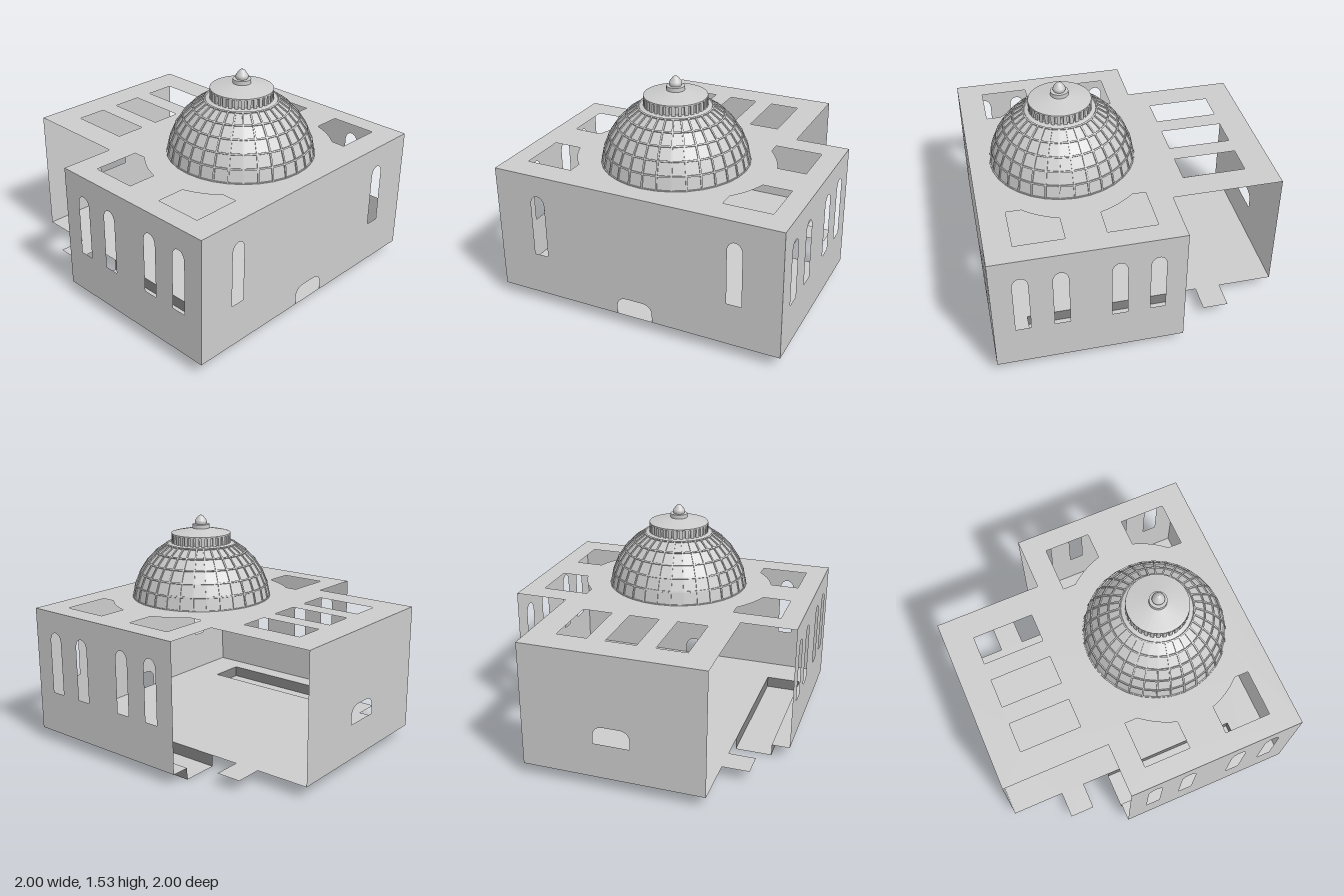
import * as THREE from 'three';

const FLOOR = 0.08, ROOF = 0.955, CX = 0.367;

export function createModel() {
  const model = new THREE.Group();
  const grey = new THREE.MeshStandardMaterial({ color: 0xcccccc, side: THREE.DoubleSide });
  const flat = new THREE.MeshStandardMaterial({ color: 0xcccccc, side: THREE.DoubleSide, flatShading: true });
  const dark = new THREE.MeshStandardMaterial({ color: 0x828282, side: THREE.DoubleSide });

  const add = (name, geo, mat = grey, parent = model) => {
    const mesh = new THREE.Mesh(geo, mat);
    mesh.name = name;
    parent.add(mesh);
    return mesh;
  };
  const polygon = (pts) => new THREE.Shape(pts.map(([a, b]) => new THREE.Vector2(a, b)));
  const rect = (a0, b0, a1, b1) => polygon([[a0, b0], [a1, b0], [a1, b1], [a0, b1]]);
  // Closes a half outline by mirroring its second coordinate
  const mirrored = (half) => polygon([...half, ...half.map(([a, b]) => [a, -b]).reverse()]);

  // Sheets: horizontal (x, z), facing z (x, y) and facing x (z, y)
  const slab = (s, y) => new THREE.ShapeGeometry(s, 12).rotateX(Math.PI / 2).translate(0, y, 0);
  const wallZ = (s, z) => new THREE.ShapeGeometry(s, 12).translate(0, 0, z);
  const wallX = (s, x) => new THREE.ShapeGeometry(s, 12).rotateY(-Math.PI / 2).translate(x, 0, 0);

  // Tall round-headed window opening
  const windowHole = (c) => {
    const r = 0.05, p = new THREE.Path();
    p.moveTo(c - r, 0.375);
    p.lineTo(c + r, 0.375);
    p.lineTo(c + r, 0.745);
    p.bezierCurveTo(c + r, 0.832, c - r, 0.832, c - r, 0.745);
    p.closePath();
    return p;
  };
  // Low opening with rounded upper corners, continued on a given path
  const traceDoor = (p, y, h) => {
    const w = 0.125, r = 0.075;
    p.lineTo(-w, y);
    p.lineTo(-w, y + h - r);
    p.quadraticCurveTo(-w, y + h, -w + r, y + h);
    p.lineTo(w - r, y + h);
    p.quadraticCurveTo(w, y + h, w, y + h - r);
    p.lineTo(w, y);
  };

  // Floor with side tabs and step recesses
  add('floor', slab(mirrored([[1, 0], [1, 1], [-0.25, 1], [-0.25, 0.875], [0.75, 0.875], [0.75, 0.625],
    [-0.45, 0.625], [-0.45, 0.812], [-0.625, 0.812], [-0.625, 0.625], [-1, 0.625], [-1, 0]]), FLOOR));

  // Roof with skylights and the opening below the dome
  const roof = mirrored([[1, 0], [1, 1], [-0.25, 1], [-0.25, 0.625], [-1, 0.625], [-1, 0]]);
  for (const z of [-0.335, 0, 0.335]) roof.holes.push(rect(-0.8, z - 0.104, -0.37, z + 0.104));
  for (const s of [-1, 1]) {
    for (const [m, reach, start] of [[-1, 0.457, 0.367], [1, 0.457, 0.358]]) {
      const p = new THREE.Path(), X = (d) => CX + m * d;
      p.moveTo(X(reach), s * 0.535);
      p.lineTo(X(start), s * 0.535);
      p.quadraticCurveTo(X(0.26), s * 0.625, X(0.132), s * 0.665);
      p.lineTo(X(0.132), s * 0.86);
      p.lineTo(X(reach), s * 0.86);
      p.closePath();
      roof.holes.push(p);
    }
  }
  roof.holes.push(new THREE.Path().absarc(CX, 0, 0.49, 0, Math.PI * 2));
  add('roof', slab(roof, ROOF));

  // Front and back walls
  for (const [name, z] of [['frontWall', 1], ['backWall', -1]]) {
    const s = rect(-0.25, FLOOR, 1, ROOF);
    for (const x of [-0.065, 0.185, 0.558, 0.81]) s.holes.push(windowHole(x));
    add(name, wallZ(s, z));
  }

  // Entrance wall with a low doorway
  const entrance = new THREE.Shape();
  entrance.moveTo(-1, FLOOR);
  traceDoor(entrance, FLOOR, 0.125);
  entrance.lineTo(1, FLOOR);
  entrance.lineTo(1, ROOF);
  entrance.lineTo(-1, ROOF);
  entrance.closePath();
  for (const z of [-0.69, 0.69]) entrance.holes.push(windowHole(z));
  add('entranceWall', wallX(entrance, 1));

  // End wall of the open-sided wing
  const end = rect(-0.625, FLOOR, 0.625, ROOF), hatch = new THREE.Path();
  hatch.moveTo(0.125, 0.325);
  traceDoor(hatch, 0.325, 0.125);
  hatch.closePath();
  end.holes.push(hatch);
  add('wingEndWall', wallX(end, -1));

  // Sunken step troughs below the floor
  for (const s of [-1, 1]) {
    const step = new THREE.Group();
    step.name = s > 0 ? 'frontStep' : 'backStep';
    model.add(step);
    add('stepBottom', slab(rect(-0.25, s * 0.625, 0.75, s * 0.875), 0), grey, step);
    for (const z of [0.625, 0.875]) add('stepSide', wallZ(rect(-0.25, 0, 0.75, FLOOR), s * z), dark, step);
    add('stepEnd', wallX(rect(s * 0.625, 0, s * 0.875, FLOOR), 0.75), dark, step);
  }

  // Dome
  const dome = new THREE.Group();
  dome.name = 'dome';
  dome.position.set(CX, 0, 0);
  model.add(dome);
  const SEG = 32, R = 0.492, CY = 0.9;
  const levels = [0, 1, 2, 3, 4, 5].map((i) => 0.11 + 0.189 * i);
  const at = (a, r) => new THREE.Vector2(r * Math.cos(a), CY + r * Math.sin(a));
  const lathe = (pts, n = SEG) => new THREE.LatheGeometry(
    pts.map((p) => (p.isVector2 ? p : new THREE.Vector2(...p))), n);
  add('domeShell', lathe([...levels.map((a) => at(a, R)), [0.19, 1.345]]), flat, dome);

  // Raised rings and ribs framing the dome panels
  levels.forEach((a) => add('domeRing', lathe([at(a - 0.012, R), at(a - 0.01, R + 0.008),
    at(a + 0.01, R + 0.008), at(a + 0.012, R)]), flat, dome));
  for (let k = 0; k < SEG; k++) {
    const rib = new THREE.Group();
    rib.name = 'domeRib';
    rib.rotation.y = (k / SEG) * Math.PI * 2;
    dome.add(rib);
    for (let i = 0; i < 5; i++) {
      const p = at(levels[i], R), q = at(levels[i + 1], R);
      const bar = add('ribBar', new THREE.BoxGeometry(0.014, p.distanceTo(q), 0.011), grey, rib);
      bar.position.set((p.x + q.x) / 2, (p.y + q.y) / 2, 0);
      bar.rotation.z = Math.atan2(q.y - p.y, q.x - p.x) - Math.PI / 2;
    }
  }

  // Toothed lantern drum with its shallow cap
  add('lanternDrum', lathe([[0.198, 1.335], [0.198, 1.405]]), flat, dome);
  for (let k = 0; k < SEG; k++) {
    const a = (k / SEG) * Math.PI * 2;
    const tooth = add('drumTooth', new THREE.BoxGeometry(0.02, 0.06, 0.024), grey, dome);
    tooth.position.set(0.2 * Math.cos(a), 1.367, 0.2 * Math.sin(a));
    tooth.rotation.y = -a;
  }
  add('lanternCap', lathe([[0.19, 1.397], [0.21, 1.397], [0.21, 1.407], [0.19, 1.412], [0.06, 1.44]]), flat, dome);

  // Finial
  add('finialBase', new THREE.CylinderGeometry(0.06, 0.06, 0.035, 24).translate(0, 1.45, 0), grey, dome);
  add('finial', lathe([[0.036, 1.465], [0.043, 1.48], [0.04, 1.495], [0.02, 1.522], [0.01, 1.53], [0, 1.532]], 20), grey, dome);

  return model;
}
